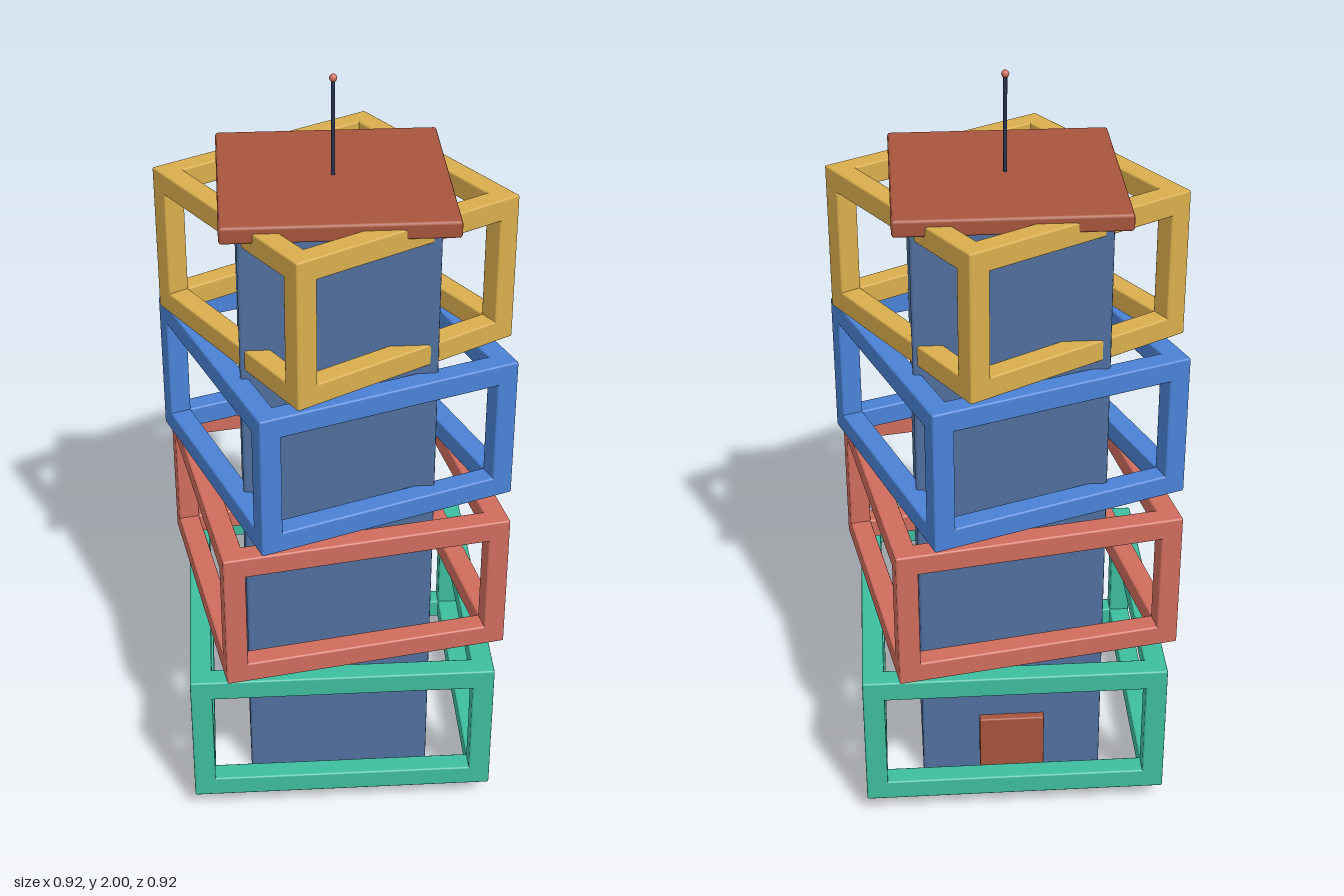
import * as THREE from 'three';
import { RoundedBoxGeometry } from 'three/addons/geometries/RoundedBoxGeometry.js';

const mat = (name, color) => {
  const m = new THREE.MeshStandardMaterial({ color });
  m.name = name;
  return m;
};

// Box with slightly softened edges, centred on x, y, z
function block(name, [w, h, d], [x, y, z], material, bevel = 0.008) {
  const mesh = new THREE.Mesh(new RoundedBoxGeometry(w, h, d, 1, bevel), material);
  mesh.name = name;
  mesh.position.set(x, y, z);
  return mesh;
}

// Open cage of twelve beams
function cage(name, half, height, beam, material) {
  const g = new THREE.Group();
  g.name = name;
  const off = half - beam / 2;
  const yOff = height / 2 - beam / 2;
  const bevel = 0.005;
  for (const a of [-1, 1]) {
    for (const b of [-1, 1]) {
      g.add(block('post', [beam, height, beam], [a * off, 0, b * off], material, bevel));
      g.add(block('railX', [half * 2, beam, beam], [0, a * yOff, b * off], material, bevel));
      g.add(block('railZ', [beam, beam, half * 2], [a * off, b * yOff, 0], material, bevel));
    }
  }
  return g;
}

export function createModel() {
  const model = new THREE.Group();
  model.name = 'twistedTower';

  const core = mat('slateBlue', 0x50709f);
  const rust = mat('rust', 0xa8553d);
  const navy = mat('darkNavy', 0x2a3450);
  const green = mat('green', 0x3dbd9e);
  const red = mat('coral', 0xcf6c5d);
  const blue = mat('blue', 0x4a82d6);
  const gold = mat('gold', 0xd9ad4c);

  // Central shaft and back door
  model.add(block('core', [0.5, 1.7, 0.5], [0, 0.85, 0], core));
  model.add(block('door', [0.18, 0.2, 0.03], [0, 0.105, -0.258], rust, 0.004));

  // Floor cages, each smaller and turned further than the one below
  [green, red, blue, gold].forEach((material, i) => {
    const floor = cage('floorFrame' + (i + 1), 0.41 - 0.026 * i, 0.398, 0.058, material);
    floor.position.y = 0.2545 + 0.4215 * i;
    floor.rotation.y = 0.18 * i;
    model.add(floor);
  });

  // Roof slab
  model.add(block('roof', [0.585, 0.045, 0.585], [0, 1.7125, 0], rust));

  // Antenna with ball tip
  const mast = new THREE.Mesh(new THREE.CylinderGeometry(0.005, 0.005, 0.26, 12), navy);
  mast.name = 'antenna';
  mast.position.y = 1.86;
  const tip = new THREE.Mesh(new THREE.SphereGeometry(0.01, 16, 12), red);
  tip.name = 'antennaTip';
  tip.position.y = 1.99;
  model.add(mast, tip);

  return model;
}
